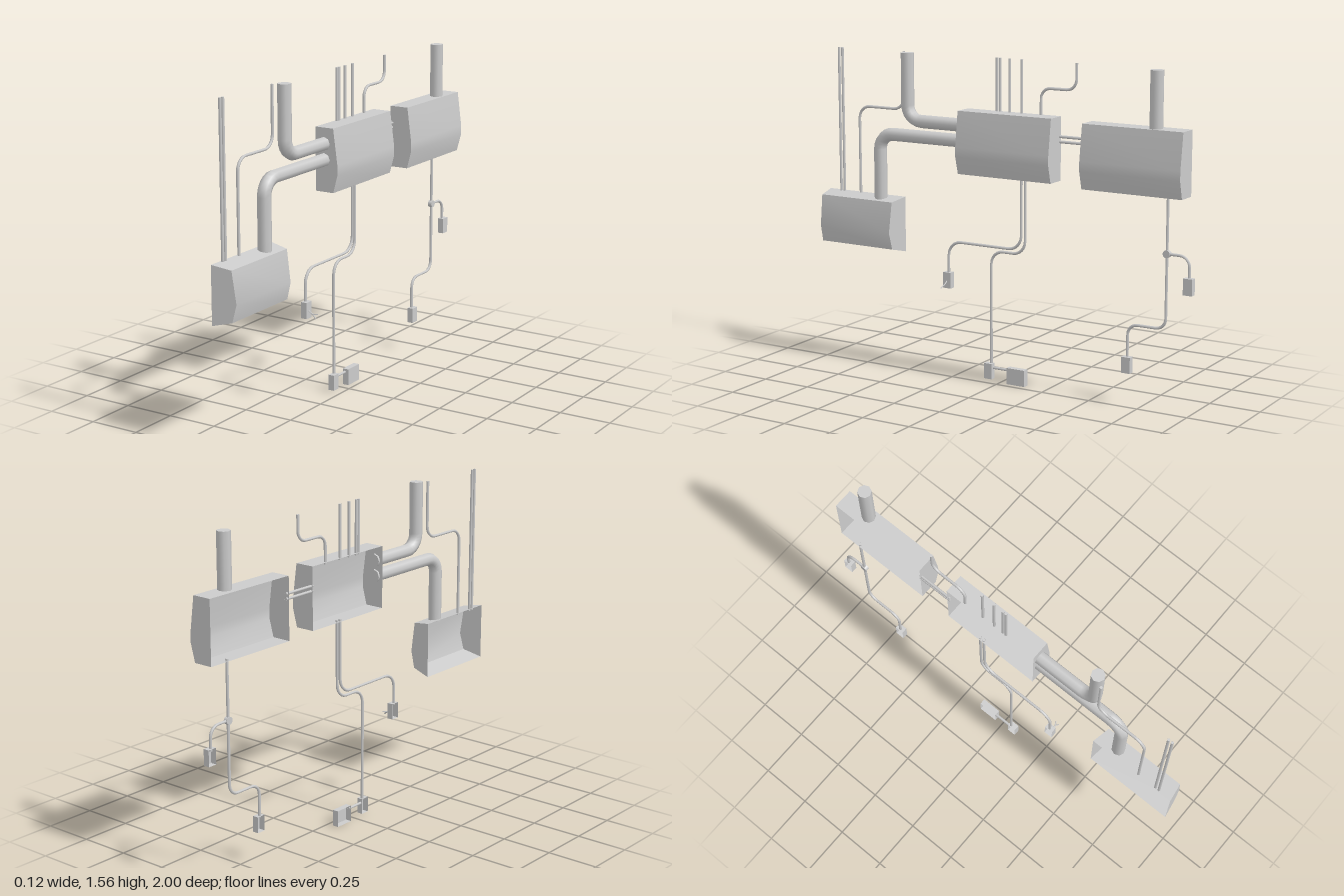
import * as THREE from 'three';
import { toCreasedNormals } from 'three/addons/utils/BufferGeometryUtils.js';

const BACK = -0.06;
const PIPE_X = -0.05;
const material = new THREE.MeshStandardMaterial({ color: 0xcccccc, side: THREE.DoubleSide });

// Open-backed shell: a profile of [x, y] from the lower back edge to the upper back edge,
// swept from z0 to z1; the ends lean inwards by taper towards the front.
function shell(name, profile, z0, z1, taper = 0) {
  const inset = (x) => taper * (x - BACK) / 0.12;
  const a = profile.map(([x, y]) => [x, y, z0 + inset(x)]);
  const b = profile.map(([x, y]) => [x, y, z1 - inset(x)]);
  const pos = [];
  const tri = (...corners) => corners.forEach((c) => pos.push(...c));
  for (let i = 0; i < profile.length - 1; i++) {
    tri(a[i], a[i + 1], b[i + 1]);
    tri(a[i], b[i + 1], b[i]);
    if (i > 0) {
      tri(b[0], b[i], b[i + 1]);
      tri(a[0], a[i + 1], a[i]);
    }
  }
  const geometry = new THREE.BufferGeometry();
  geometry.setAttribute('position', new THREE.Float32BufferAttribute(pos, 3));
  const mesh = new THREE.Mesh(toCreasedNormals(geometry, 0.6), material);
  mesh.name = name;
  return mesh;
}

// Path made of straight runs joined by rounded corners
class BentPath extends THREE.Curve {
  constructor(points, bend) {
    super();
    this.samples = [];
    const add = (point, tangent) => this.samples.push({ point, tangent });
    const n = points.length - 1;
    const dir = (i) => points[i + 1].clone().sub(points[i]).normalize();
    add(points[0], dir(0));
    for (let i = 1; i < n; i++) {
      const start = points[i].clone().addScaledVector(dir(i - 1), -bend);
      const end = points[i].clone().addScaledVector(dir(i), bend);
      // Cubic with circular-arc handles
      const arc = new THREE.CubicBezierCurve3(
        start, start.clone().lerp(points[i], 0.55), end.clone().lerp(points[i], 0.55), end);
      for (let k = 0; k <= 6; k++) add(arc.getPoint(k / 6), arc.getTangent(k / 6));
    }
    add(points[n], dir(n - 1));
  }
  sample(u) { return this.samples[Math.round(u * (this.samples.length - 1))]; }
  getPoint(u) { return this.sample(u).point.clone(); }
  getPointAt(u) { return this.getPoint(u); }
  getTangentAt(u) { return this.sample(u).tangent.clone(); }
}

// Capped pipe through [z, y] points in a plane of constant x
function pipe(name, zy, { radius = 0.007, bend = 0.05, x = PIPE_X, sides = 6 } = {}) {
  const path = new BentPath(zy.map(([z, y]) => new THREE.Vector3(x, y, z)), bend);
  const group = new THREE.Group();
  group.name = name;
  group.add(new THREE.Mesh(
    new THREE.TubeGeometry(path, path.samples.length - 1, radius, sides), material));
  for (const [u, sign] of [[0, -1], [1, 1]]) {
    const cap = new THREE.Mesh(new THREE.CircleGeometry(radius, sides), material);
    cap.position.copy(path.getPointAt(u));
    cap.quaternion.setFromUnitVectors(
      new THREE.Vector3(0, 0, 1), path.getTangentAt(u).multiplyScalar(sign));
    group.add(cap);
  }
  return group;
}

export function createModel() {
  const model = new THREE.Group();
  model.name = 'wallUnitsWithPipes';

  // Wall cabinets with bulged fronts
  const cabinet = (y0, y1) => [
    [BACK, y0], [0.035, y0], [0.058, y0 + 0.085], [0.058, y0 + 0.13], [0.035, y1], [BACK, y1]];
  model.add(shell('middleCabinet', cabinet(1.01, 1.31), -0.31, 0.19));
  model.add(shell('rearCabinet', cabinet(1.0, 1.3), -0.97, -0.47));
  model.add(shell('frontCabinet',
    [[BACK, 0.577], [0.036, 0.602], [0.057, 0.685], [0.036, 0.835], [BACK, 0.85]],
    0.553, 1.0, 0.02));

  // Wide ducts
  const duct = { radius: 0.032, bend: 0.075, x: -0.015, sides: 8 };
  model.add(pipe('upperDuct', [[0.503, 1.56], [0.503, 1.235], [0.18, 1.235]], duct));
  model.add(pipe('lowerDuct', [[0.18, 1.16], [0.665, 1.16], [0.665, 0.835]], duct));
  model.add(pipe('rearDuct', [[-0.82, 1.56], [-0.82, 1.29]], { ...duct, x: -0.005 }));

  // Straight conduits rising from the cabinets
  for (const z of [0.928, 0.908]) model.add(pipe('frontConduit', [[z, 1.56], [z, 0.84]]));
  for (const z of [0.026, 0.009, -0.042, -0.107])
    model.add(pipe('middleConduit', [[z, 1.56], [z, 1.3]]));
  for (const y of [1.217, 1.193])
    model.add(pipe('linkConduit', [[-0.3, y], [-0.48, y]]));

  // Bent conduits
  model.add(pipe('frontBentConduit',
    [[0.547, 1.56], [0.547, 1.28], [0.81, 1.28], [0.81, 0.84]], { bend: 0.06 }));
  model.add(pipe('rearBentConduit', [[-0.395, 1.56], [-0.395, 1.435], [-0.21, 1.435], [-0.21, 1.3]]));
  model.add(pipe('switchConduit',
    [[-0.107, 1.02], [-0.107, 0.66], [0.297, 0.66], [0.297, 0.5]], { bend: 0.07 }));
  model.add(pipe('socketConduit',
    [[-0.128, 1.02], [-0.128, 0.64], [0.057, 0.64], [0.057, 0.08]], { bend: 0.065 }));
  model.add(pipe('socketLink', [[0.05, 0.064], [-0.045, 0.064]]));
  model.add(pipe('rearDropConduit',
    [[-0.863, 1.01], [-0.863, 0.38], [-0.672, 0.38], [-0.672, 0.22]]));
  model.add(pipe('branchConduit', [[-0.863, 0.73], [-0.975, 0.73], [-0.975, 0.62]]));

  // Round branch joint
  const joint = new THREE.Mesh(new THREE.CylinderGeometry(0.018, 0.018, 0.02, 12), material);
  joint.name = 'branchJoint';
  joint.rotation.z = Math.PI / 2;
  joint.position.set(PIPE_X, 0.73, -0.863);
  model.add(joint);

  // Small open-backed outlet boxes: [z0, z1, y0, y1]
  const outlets = [
    [0.275, 0.318, 0.43, 0.508], [0.045, 0.088, 0.01, 0.086], [-0.137, -0.04, 0, 0.08],
    [-0.998, -0.953, 0.555, 0.632], [-0.695, -0.651, 0.15, 0.226]];
  for (const [z0, z1, y0, y1] of outlets)
    model.add(shell('outletBox', [[BACK, y0], [-0.03, y0], [-0.03, y1], [BACK, y1]], z0, z1));

  // Loose wires sticking out of one box
  for (const [y, z] of [[0.437, 0.305], [0.452, 0.288]]) {
    const curve = new THREE.CatmullRomCurve3([
      new THREE.Vector3(-0.032, 0.465, 0.297),
      new THREE.Vector3(-0.012, 0.453, 0.297),
      new THREE.Vector3(0.012, y, z)]);
    const wire = new THREE.Mesh(new THREE.TubeGeometry(curve, 6, 0.003, 5), material);
    wire.name = 'looseWire';
    model.add(wire);
  }
  return model;
}
